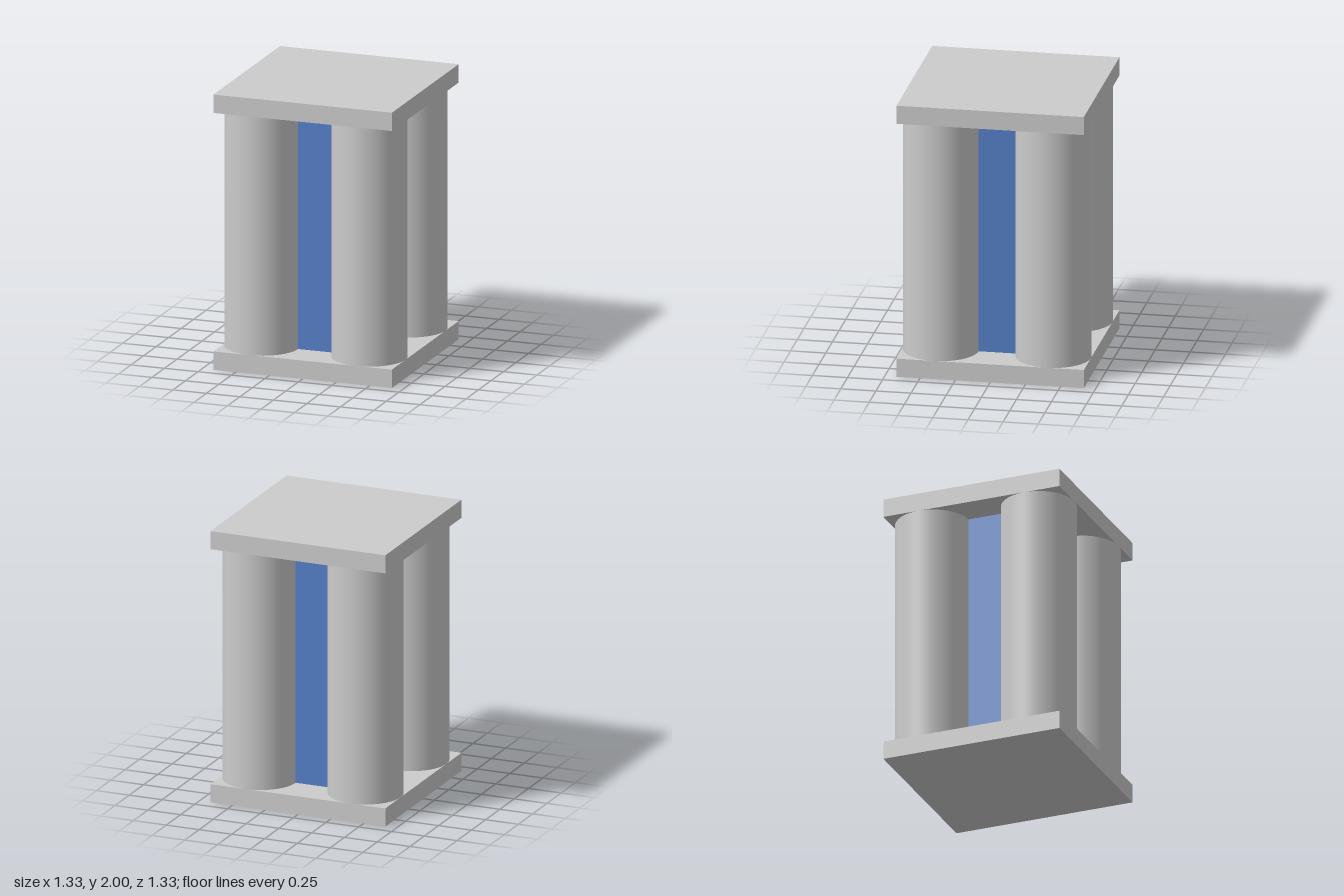
import * as THREE from 'three';

const WIDTH = 4 / 3;       // side of the square plates
const PLATE = 2 / 15;      // plate thickness
const INNER = 2 - 2 * PLATE;
const RADIUS = 4 / 15;     // column radius
const OFFSET = 0.4;        // column centres from the middle

export function createModel() {
  const group = new THREE.Group();
  const grey = new THREE.MeshStandardMaterial({ color: 0xcccccc });
  const blue = new THREE.MeshStandardMaterial({ color: 0x5580c8 });

  const add = (name, geometry, material, x, y, z) => {
    const mesh = new THREE.Mesh(geometry, material);
    mesh.name = name;
    mesh.position.set(x, y, z);
    group.add(mesh);
  };

  // Square plates at the bottom and top
  const plate = new THREE.BoxGeometry(WIDTH, PLATE, WIDTH);
  add('basePlate', plate, grey, 0, PLATE / 2, 0);
  add('topPlate', plate, grey, 0, 2 - PLATE / 2, 0);

  // Blue core, its corners buried in the columns
  const core = new THREE.BoxGeometry(2 * OFFSET, INNER, 2 * OFFSET);
  add('core', core, blue, 0, 1, 0);

  // Four round corner columns
  const column = new THREE.CylinderGeometry(RADIUS, RADIUS, INNER, 64);
  for (const [side, x] of [['Left', OFFSET], ['Right', -OFFSET]]) {
    for (const [end, z] of [['front', OFFSET], ['back', -OFFSET]]) {
      add(`${end}${side}Column`, column, grey, x, 1, z);
    }
  }
  return group;
}
